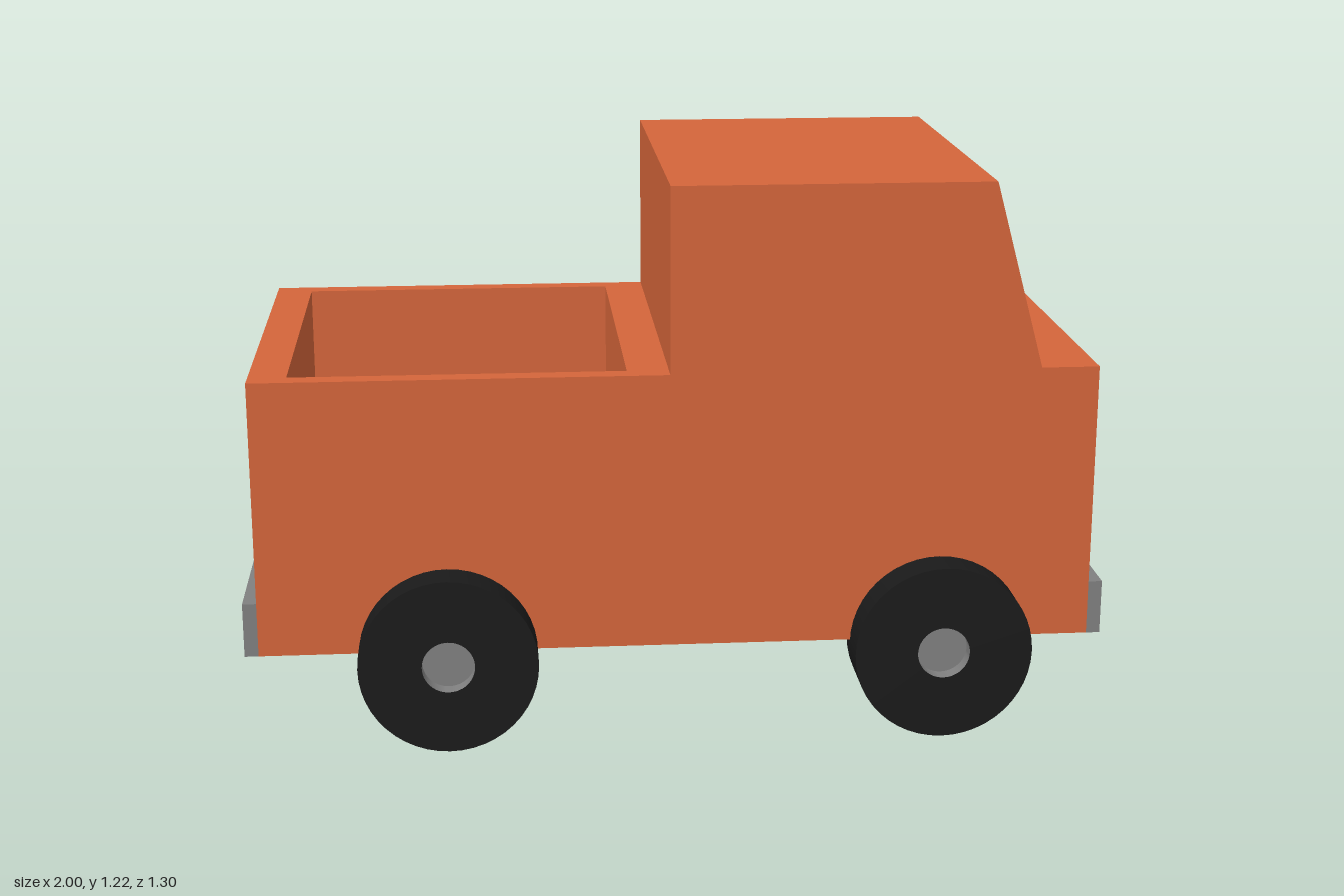
import * as THREE from 'three';
import { toCreasedNormals } from 'three/addons/utils/BufferGeometryUtils.js';

const paint = new THREE.MeshStandardMaterial({ color: 0xd4653a });
const steel = new THREE.MeshStandardMaterial({ color: 0x808080 });
const rubber = new THREE.MeshStandardMaterial({ color: 0x1a1a1a });
const glass = new THREE.MeshStandardMaterial({ color: 0x87ceeb });

// Truck runs along x (nose at +x), width along z
const HALF_L = 0.909, HALF_W = 0.455;
const FLOOR = 0.2, BED = 0.41, DECK = 0.81, ROOF = 1.215;
const CAB_BACK = -0.017, ROOF_FRONT = 0.672, SILL_FRONT = 0.783;
const RECESS = 0.05;

function add(parent, name, geometry, material, x = 0, y = 0, z = 0) {
  const mesh = new THREE.Mesh(geometry, material);
  mesh.name = name;
  mesh.position.set(x, y, z);
  parent.add(mesh);
  return mesh;
}

function polygon(points) {
  return new THREE.Shape(points.map(([x, y]) => new THREE.Vector2(x, y)));
}

function rect(x0, y0, x1, y1) {
  return polygon([[x0, y0], [x1, y0], [x1, y1], [x0, y1]]);
}

function extrude(shape, depth) {
  return new THREE.ExtrudeGeometry(shape, { depth, bevelEnabled: false });
}

function lathe(points) {
  const g = new THREE.LatheGeometry(points.map(([x, y]) => new THREE.Vector2(x, y)), 48);
  g.rotateX(Math.PI / 2);
  return toCreasedNormals(g, Math.PI / 5);
}

// Wheel with its inner face at z = 0 and a recessed hub on the outer face
function makeWheel(name) {
  const wheel = new THREE.Group();
  wheel.name = name;
  const r = 0.194, w = 0.127, hub = 0.057, dip = 0.035;
  add(wheel, 'tyre', lathe([[0, 0], [r, 0], [r, w], [hub, w]]), rubber);
  add(wheel, 'hub', lathe([[hub, w], [hub, w - dip], [0, w - dip]]), steel);
  return wheel;
}

export function createModel() {
  const model = new THREE.Group();
  model.name = 'pickupTruck';
  const truck = new THREE.Group();
  truck.name = 'truck';
  truck.rotation.y = -0.1615;
  model.add(truck);

  // Lower body: floor slab, then walls around the open bed
  add(truck, 'chassis', new THREE.BoxGeometry(HALF_L * 2, BED - FLOOR, HALF_W * 2),
    paint, 0, (FLOOR + BED) / 2, 0);
  const walls = rect(-HALF_L, -HALF_W, HALF_L, HALF_W);
  walls.holes.push(rect(-0.827, -0.412, -0.107, 0.412));
  add(truck, 'bedWalls', extrude(walls, DECK - BED).rotateX(-Math.PI / 2), paint, 0, BED, 0);

  // Cab: side profile whose front is set back behind the windshield frame
  const rise = ROOF - DECK, run = SILL_FRONT - ROOF_FRONT;
  const tilt = Math.atan2(run, rise), slope = Math.hypot(run, rise);
  const backX = RECESS * Math.cos(tilt), backY = RECESS * Math.sin(tilt);
  const cab = polygon([
    [CAB_BACK, DECK - backY], [SILL_FRONT - backX, DECK - backY],
    [ROOF_FRONT - backX, ROOF - backY], [ROOF_FRONT, ROOF], [CAB_BACK, ROOF],
  ]);
  add(truck, 'cab', extrude(cab, HALF_W * 2), paint, 0, 0, -HALF_W);

  // Windshield: tilted frame with the pane sunk at its back
  const windshield = new THREE.Group();
  windshield.name = 'windshield';
  windshield.rotation.set(0, Math.PI / 2, tilt, 'ZYX');
  windshield.position.set(SILL_FRONT - backX, DECK - backY, 0);
  truck.add(windshield);
  const border = 0.036, paneHalf = 0.423;
  const frame = rect(-HALF_W, 0, HALF_W, slope);
  frame.holes.push(rect(-paneHalf, border, paneHalf, slope - border));
  add(windshield, 'windshieldFrame', extrude(frame, RECESS), paint);
  add(windshield, 'windshieldPane', new THREE.PlaneGeometry(paneHalf * 2, slope - border * 2),
    glass, 0, slope / 2, 0.002);

  // Bumpers
  for (const [name, side] of [['frontBumper', 1], ['rearBumper', -1]]) {
    add(truck, name, new THREE.BoxGeometry(0.03, 0.12, HALF_W * 2), steel,
      side * (HALF_L + 0.015), FLOOR + 0.06, 0);
  }

  // Wheels
  for (const [end, x] of [['front', 0.574], ['rear', -0.5]]) {
    for (const [sideName, side] of [['Near', 1], ['Far', -1]]) {
      const wheel = makeWheel(`${end}Wheel${sideName}`);
      wheel.position.set(x, 0.194, side * 0.41);
      if (side < 0) wheel.rotation.y = Math.PI;
      truck.add(wheel);
    }
  }
  return model;
}
